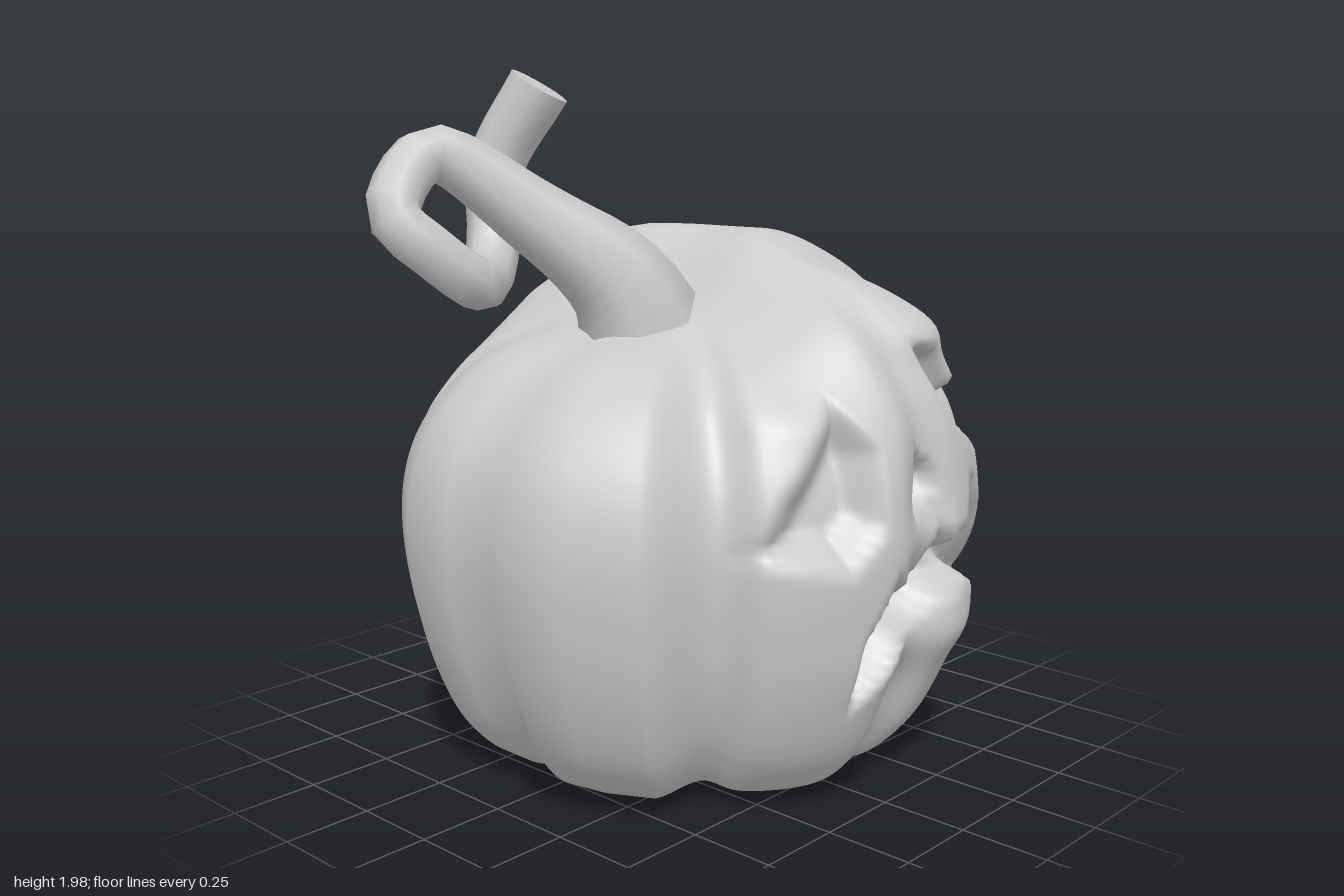
import * as THREE from 'three';

const material = new THREE.MeshStandardMaterial({ color: 0xcccccc, side: THREE.DoubleSide });
const { clamp, lerp, smoothstep } = THREE.MathUtils;
const v3 = (p) => new THREE.Vector3(p[0], p[1], p[2] || 0);

// Widest ring of the body [x, z]: eight lobes, starting at the front notch
const RING = [
  [.06, .78], [.21, .82], [.44, .74], [.58, .58], [.59, .5], [.72, .46], [.83, .3], [.86, .07],
  [.76, -.04], [.84, -.18], [.78, -.4], [.66, -.54], [.5, -.59], [.42, -.8], [.22, -.86], [0, -.79],
  [-.11, -.84], [-.42, -.73], [-.51, -.65], [-.53, -.53], [-.7, -.45], [-.81, -.28], [-.83, -.09],
  [-.78, .03], [-.86, .16], [-.82, .33], [-.72, .5], [-.5, .57], [-.44, .7], [-.25, .82], [-.09, .85],
];
// Upright section [share of ring, height]; above MID the height is stretched to the tilted top
const MID = .75, TOP = 1.4;
const SECTION = [
  [0, .1], [.3, .07], [.5, .01], [.68, .02], [.8, .11], [.88, .23], [.96, .45], [1, .75],
  [.96, 1], [.86, 1.18], [.7, 1.325], [.5, 1.385], [.3, 1.4], [.14, 1.385], [0, 1.38],
];

// Carved hollows, drawn on the front [x, y]
const HOLLOWS = [
  { depth: .1, edge: .1, pts: [[-.5, .76], [-.42, .92], [-.2, 1.17], [-.12, 1.02], [-.13, .82], [-.25, .71], [-.4, .74]] },
  { depth: .12, edge: .08, pts: [[.1, 1.28], [.27, 1.24], [.38, 1.14], [.53, 1.13], [.56, .93], [.4, .94], [.22, 1.04]] },
  { depth: .07, edge: .04, pts: [[.0, .8], [.03, 1], [.17, .91]] },
  {
    depth: .12, edge: .08, pts: [[-.21, .3], [-.21, .52], [-.1, .7], [-.03, .65], [.07, .67], [.12, .79], [.19, .74],
      [.27, .76], [.3, .88], [.37, .88], [.47, .75], [.57, .52], [.52, .46], [.42, .53], [.3, .58], [.15, .55], [0, .48], [-.1, .39]],
  },
];
// Soft swellings of the face: x, y, size x, size y, height
const SWELLINGS = [
  [.17, .46, .25, .09, .04], [.08, .76, .12, .06, .03], [.03, 1.12, .11, .22, .045],
  [.25, 1.29, .22, .07, .05], [-.32, 1.1, .12, .06, .015],
];

// Distance from a point to the outline, zero outside it
function insideDistance(pts, x, y) {
  let inside = false, best = Infinity;
  for (let i = 0, j = pts.length - 1; i < pts.length; j = i++) {
    const [ax, ay] = pts[i], [bx, by] = pts[j];
    if ((ay > y) !== (by > y) && x < (bx - ax) * (y - ay) / (by - ay) + ax) inside = !inside;
    const dx = bx - ax, dy = by - ay;
    const t = clamp(((x - ax) * dx + (y - ay) * dy) / (dx * dx + dy * dy), 0, 1);
    best = Math.min(best, Math.hypot(x - ax - t * dx, y - ay - t * dy));
  }
  return inside ? best : 0;
}

function carve(p) {
  let push = 0;
  for (const h of HOLLOWS) push -= h.depth * smoothstep(insideDistance(h.pts, p.x, p.y), 0, h.edge);
  for (const [x, y, sx, sy, height] of SWELLINGS)
    push += height * Math.exp(-(((p.x - x) / sx) ** 2) - ((p.y - y) / sy) ** 2);
  const k = 1 + push * smoothstep(p.z, .3, .42) / Math.max(.3, Math.hypot(p.x, p.z));
  p.x *= k;
  p.z = Math.min(p.z * k, .86);
}

// Body point for one ring point c and one section point s
function bodyPoint(c, s) {
  const share = Math.max(s.x, 0), radius = Math.hypot(c.x, c.z);
  // Lobes fade into a round plate towards the top and bottom centre
  const lobed = smoothstep(share, .3, .85);
  const k = share * lerp(.81 / radius, 1, lobed);
  const p = new THREE.Vector3(c.x * k, s.y, c.z * k);
  const notch = Math.max(0, .88 - radius) * .4 * lobed;
  if (s.y > MID) {
    // Top leans: crest beside the stem, low under it, lower again at the front
    const lean = .15 * Math.tanh((p.x + .06) / .16) - .2 * Math.max(0, p.x - .1);
    const top = 1.42 + lean - .08 * smoothstep(p.z, .1, .4) * smoothstep(p.x, -.2, .2);
    p.y = MID + (s.y - MID) / (TOP - MID) * (top - MID - notch);
  } else {
    const raise = (.07 * (c.x / radius) ** 2 + .03 * Math.max(0, c.z / radius)) * share ** 2;
    p.y += (notch + raise) * (1 - s.y / MID);
  }
  carve(p);
  return p;
}

function buildBody() {
  const ringCurve = new THREE.CatmullRomCurve3(RING.map(([x, z]) => v3([x, 0, z])), true);
  const section = new THREE.CatmullRomCurve3(SECTION.map(v3));

  // Fine columns across the face, plain facets round the back
  const columns = [];
  RING.forEach(([, z], i) => {
    const steps = z > .45 ? 20 : 1;
    for (let k = 0; k < steps; k++) columns.push(ringCurve.getPoint((i + k / steps) / RING.length));
  });
  const rows = (SECTION.length - 1) * 9, n = columns.length;
  const positions = [], index = [];
  for (let r = 0; r <= rows; r++) {
    const s = section.getPoint(r / rows);
    for (const c of columns) positions.push(...bodyPoint(c, s).toArray());
  }
  for (let r = 0; r < rows; r++) for (let c = 0; c < n; c++) {
    const a = r * n + c, b = r * n + (c + 1) % n;
    index.push(a, b, a + n, b, b + n, a + n);
  }
  const geometry = new THREE.BufferGeometry();
  geometry.setAttribute('position', new THREE.Float32BufferAttribute(positions, 3));
  geometry.setIndex(index);
  geometry.computeVertexNormals();
  const mesh = new THREE.Mesh(geometry, material);
  mesh.name = 'pumpkinBody';
  return mesh;
}

// Curling stem: tube that tapers away from its wide foot
function buildStem() {
  const path = new THREE.CatmullRomCurve3([
    [-.19, 1.22, .04], [-.25, 1.4, -.02], [-.42, 1.59, -.19], [-.62, 1.76, -.35], [-.69, 1.73, -.36], [-.79, 1.6, -.32],
    [-.71, 1.5, -.26], [-.58, 1.41, -.24], [-.43, 1.43, -.36], [-.36, 1.53, -.42], [-.33, 1.72, -.44], [-.255, 1.945, -.33],
  ].map(v3));
  const radii = [.2, .15, .115, .095, .08, .075, .075, .075, .075, .08, .085, .09];
  const rings = 40, sides = 8;
  const geometry = new THREE.TubeGeometry(path, rings, 1, sides);
  const pos = geometry.attributes.position, p = new THREE.Vector3();
  for (let i = 0; i <= rings; i++) {
    const centre = path.getPointAt(i / rings);
    const u = i / rings * (radii.length - 1), k = Math.min(Math.floor(u), radii.length - 2);
    const radius = lerp(radii[k], radii[k + 1], u - k);
    for (let j = 0; j <= sides; j++) {
      const at = i * (sides + 1) + j;
      p.fromBufferAttribute(pos, at).sub(centre).multiplyScalar(radius).add(centre);
      pos.setXYZ(at, p.x, p.y, p.z);
    }
  }
  const stem = new THREE.Mesh(geometry, material);
  stem.name = 'stemCurl';

  const tip = new THREE.Mesh(new THREE.CircleGeometry(.09, 16), material);
  tip.name = 'stemTip';
  tip.position.copy(path.getPointAt(1));
  tip.lookAt(path.getPointAt(1).add(path.getTangentAt(1)));

  const group = new THREE.Group();
  group.name = 'stem';
  group.add(stem, tip);
  return group;
}

export function createModel() {
  const model = new THREE.Group();
  model.name = 'carvedPumpkin';
  model.add(buildBody(), buildStem());
  return model;
}
